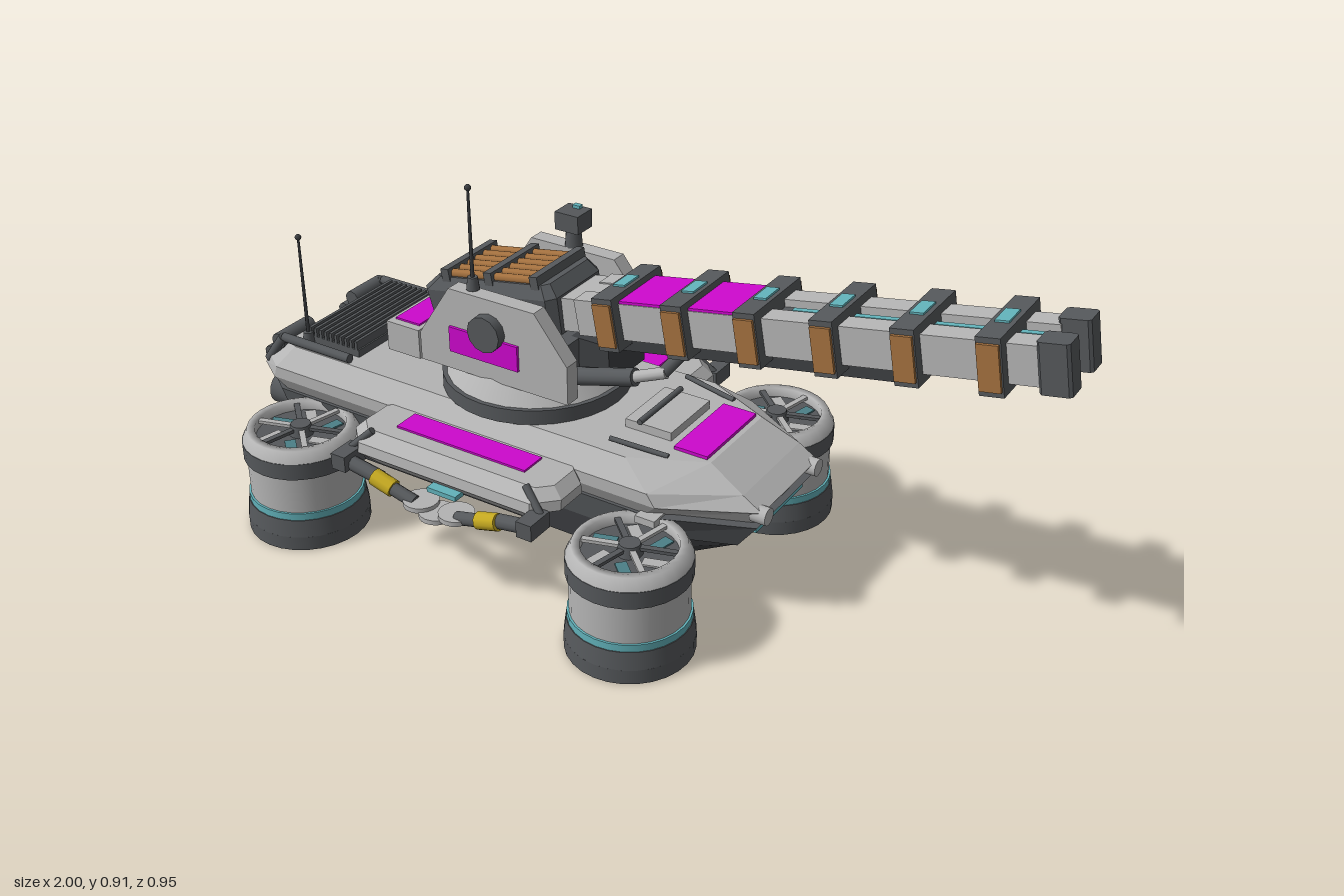
import * as THREE from 'three';

const mat = (name, color) => Object.assign(new THREE.MeshStandardMaterial({ color }), { name });

export function createModel() {
  const light = mat('light grey', 0xb4b4b4), dark = mat('dark grey', 0x55585b), black = mat('underside grey', 0x3d3f42);
  const magenta = mat('magenta', 0xcc08cc), teal = mat('teal', 0x62b2ba), copper = mat('copper', 0xa4713f);
  const yellow = mat('yellow', 0xc4a820), fanTeal = mat('deep teal', 0x4c8087);
  const root = new THREE.Group();
  root.name = 'hoverTank';

  const add = (parent, name, geo, m, x = 0, y = 0, z = 0) => {
    const mesh = new THREE.Mesh(geo, m);
    mesh.name = name;
    mesh.position.set(x, y, z);
    parent.add(mesh);
    return mesh;
  };
  const box = (p, name, m, w, h, d, x, y, z) => add(p, name, new THREE.BoxGeometry(w, h, d), m, x, y, z);
  const cyl = (p, name, m, rt, rb, h, x, y, z, n = 24) => add(p, name, new THREE.CylinderGeometry(rt, rb, h, n), m, x, y, z);
  // Cylinder between two points
  const rod = (p, name, m, a, b, r, n = 10) => {
    const va = new THREE.Vector3(...a), d = new THREE.Vector3(...b).sub(va);
    const mesh = cyl(p, name, m, r, r, d.length(), 0, 0, 0, n);
    mesh.position.copy(va).addScaledVector(d, 0.5);
    mesh.quaternion.setFromUnitVectors(new THREE.Vector3(0, 1, 0), d.normalize());
    return mesh;
  };
  // Flat-faced solid through stacked convex outlines: [y, [[x, z], ...]]
  const loft = levels => {
    const pos = [], n = levels[0][1].length;
    const v = (l, i) => { const [x, z] = levels[l][1][i % n]; return [x, levels[l][0], z]; };
    const top = levels.length - 1;
    for (let l = 0; l < top; l++)
      for (let i = 0; i < n; i++)
        pos.push(...v(l, i), ...v(l, i + 1), ...v(l + 1, i + 1), ...v(l, i), ...v(l + 1, i + 1), ...v(l + 1, i));
    for (let i = 1; i < n - 1; i++)
      pos.push(...v(top, 0), ...v(top, i), ...v(top, i + 1), ...v(0, 0), ...v(0, i + 1), ...v(0, i));
    const g = new THREE.BufferGeometry();
    g.setAttribute('position', new THREE.Float32BufferAttribute(pos, 3));
    g.computeVertexNormals();
    return g;
  };
  // Half outline, front to rear, mirrored across z
  const sym = half => [...half.map(([x, z]) => [x, -z]), ...half.slice().reverse()];
  // Rectangle with cut corners
  const oct = (cx, cz, hx, hz, c) => [[hx, hz - c], [hx, c - hz], [hx - c, -hz], [c - hx, -hz], [-hx, c - hz],
    [-hx, hz - c], [c - hx, hz], [hx - c, hz]].map(([x, z]) => [cx + x, cz + z]);

  // Hull
  add(root, 'upperHull', loft([
    [0.25, sym([[0.345, 0.12], [0.12, 0.21], [-0.9, 0.21], [-0.97, 0.17]])],
    [0.3, sym([[0.378, 0.13], [0.17, 0.236], [-0.93, 0.236], [-1, 0.19]])],
    [0.33, sym([[0.33, 0.13], [0.15, 0.236], [-0.92, 0.236], [-0.985, 0.19]])],
    [0.376, sym([[0.24, 0.115], [0.07, 0.195], [-0.89, 0.195], [-0.93, 0.17]])]]), light);
  add(root, 'lowerHull', loft([
    [0.13, sym([[0.2, 0.12], [0.05, 0.21], [-0.82, 0.21], [-0.88, 0.17]])],
    [0.2, sym([[0.32, 0.13], [0.1, 0.216], [-0.9, 0.216], [-0.95, 0.17]])]]), black);
  add(root, 'hullBelt', loft([
    [0.2, sym([[0.322, 0.135], [0.1, 0.217], [-0.9, 0.217], [-0.955, 0.17]])],
    [0.265, sym([[0.372, 0.14], [0.16, 0.226], [-0.92, 0.226], [-0.985, 0.18]])]]), dark);
  box(root, 'noseLight', teal, 0.012, 0.011, 0.22, 0.348, 0.235, 0);

  // Deck fittings
  box(root, 'frontHatch', light, 0.12, 0.022, 0.17, 0.06, 0.386, 0);
  rod(root, 'hatchHandle', dark, [0.04, 0.402, -0.09], [0.04, 0.402, 0.09], 0.007);
  box(root, 'frontDeckPanel', magenta, 0.085, 0.008, 0.22, 0.185, 0.38, 0);
  box(root, 'radiatorBase', dark, 0.16, 0.02, 0.31, -0.8, 0.385, 0);
  for (let i = 0; i < 10; i++) box(root, 'radiatorFin', dark, 0.008, 0.028, 0.31, -0.872 + i * 0.016, 0.403, 0);
  for (const s of [-1, 1]) {
    rod(root, 'headlight', light, [0.35, 0.288, s * 0.117], [0.388, 0.288, s * 0.117], 0.021, 16);
    rod(root, 'deckRail', dark, [0.01, 0.39, s * 0.165], [0.15, 0.378, s * 0.145], 0.006);
    box(root, 'bowFin', light, 0.05, 0.018, 0.045, 0.15, 0.262, s * 0.222);
    rod(root, 'rearPipe', dark, [-0.72, 0.388, s * 0.188], [-0.93, 0.388, s * 0.188], 0.012);
    rod(root, 'rearPipeBend', dark, [-0.93, 0.388, s * 0.188], [-0.985, 0.315, s * 0.188], 0.014);
    rod(root, 'rearRoll', dark, [-0.945, 0.375, s * 0.08], [-0.945, 0.375, s * 0.195], 0.02);
    rod(root, 'rearRollLow', dark, [-0.975, 0.335, s * 0.08], [-0.975, 0.335, s * 0.195], 0.018);
    rod(root, 'exhaust', dark, [-0.88, 0.212, s * 0.15], [-0.998, 0.212, s * 0.15], 0.042, 16);
    rod(root, 'exhaustBore', black, [-0.99, 0.212, s * 0.15], [-0.9995, 0.212, s * 0.15], 0.031, 16);
  }
  const antenna = (x, y, z, top) => {
    cyl(root, 'antennaBase', dark, 0.012, 0.016, 0.03, x, y + 0.015, z, 10);
    cyl(root, 'antennaMast', black, 0.003, 0.005, top - y, x, (top + y) / 2, z, 6);
    add(root, 'antennaTip', new THREE.SphereGeometry(0.008, 8, 6), black, x, top - 0.006, z);
  };
  antenna(-0.875, 0.376, 0.16, 0.665);
  antenna(-0.355, 0.66, 0.16, 0.91);

  // Hover pods
  const profile = pts => new THREE.LatheGeometry(pts.map(p => new THREE.Vector2(...p)), 28);
  for (const px of [-0.765, 0.167]) for (const s of [-1, 1]) {
    const pod = new THREE.Group();
    pod.name = 'hoverPod';
    pod.position.set(px, 0, s * 0.33);
    root.add(pod);
    cyl(pod, 'podSkirt', dark, 0.141, 0.147, 0.045, 0, 0.0575, 0, 28);
    cyl(pod, 'podFoot', dark, 0.147, 0.147, 0.036, 0, 0.018, 0, 28);
    cyl(pod, 'podGlow', fanTeal, 0.1, 0.1, 0.004, 0, 0, 0, 28).position.y = 0.001;
    cyl(pod, 'podBand', teal, 0.139, 0.139, 0.018, 0, 0.089, 0, 28);
    cyl(pod, 'podBody', light, 0.134, 0.134, 0.1, 0, 0.145, 0, 28);
    cyl(pod, 'podCollar', dark, 0.141, 0.141, 0.042, 0, 0.215, 0, 28);
    add(pod, 'podRim', profile([[0.14, 0.236], [0.127, 0.264], [0.108, 0.264], [0.108, 0.237]]), light);
    cyl(pod, 'fanWell', dark, 0.109, 0.109, 0.004, 0, 0.238, 0);
    cyl(pod, 'fanHub', dark, 0.024, 0.03, 0.026, 0, 0.253, 0, 14);
    for (let i = 0; i < 6; i++) {
      const spoke = new THREE.Group();
      spoke.rotation.y = i * Math.PI / 3 + 0.3;
      pod.add(spoke);
      box(spoke, 'fanSpoke', i % 2 ? light : dark, 0.09, 0.008, 0.014, 0.063, 0.256, 0);
      box(spoke, 'fanVane', i % 2 ? fanTeal : light, 0.055, 0.004, 0.026, 0.064, 0.243, 0.03);
    }
  }

  // Side sponsons with folded arms
  for (const s of [-1, 1]) {
    add(root, 'sponson', loft([
      [0.25, oct(-0.3, s * 0.275, 0.24, 0.075, 0.04)], [0.285, oct(-0.3, s * 0.29, 0.29, 0.092, 0.05)],
      [0.31, oct(-0.3, s * 0.29, 0.29, 0.088, 0.05)], [0.334, oct(-0.3, s * 0.28, 0.265, 0.068, 0.03)]]), light);
    box(root, 'sponsonPanel', magenta, 0.36, 0.006, 0.066, -0.3, 0.336, s * 0.277);
    box(root, 'sponsonLight', teal, 0.08, 0.012, 0.03, -0.3, 0.255, s * 0.37);
    for (const e of [-1, 1]) {
      const X = d => -0.3 + e * d;
      box(root, 'armMount', dark, 0.04, 0.04, 0.07, X(0.26), 0.275, s * 0.395);
      rod(root, 'sponsonStrut', dark, [X(0.27), 0.285, s * 0.375], [X(0.215), 0.338, s * 0.355], 0.009);
      rod(root, 'armTube', dark, [X(0.26), 0.268, s * 0.4], [X(0.16), 0.252, s * 0.4], 0.018);
      rod(root, 'armSleeve', yellow, [X(0.175), 0.255, s * 0.405], [X(0.12), 0.24, s * 0.405], 0.021);
      rod(root, 'armForearm', dark, [X(0.13), 0.242, s * 0.405], [X(0.06), 0.225, s * 0.405], 0.016);
    }
    for (const [dx, z] of [[-0.05, 0.395], [0, 0.402], [0.05, 0.395]])
      cyl(root, 'armDisc', light, 0.042, 0.042, 0.012, -0.3 + dx, 0.216 + Math.abs(dx) * 0.2, s * z, 18);
  }

  // Turret base
  cyl(root, 'turretRing', dark, 0.225, 0.225, 0.036, -0.3, 0.394, 0, 32);
  cyl(root, 'turretBase', light, 0.18, 0.215, 0.045, -0.3, 0.434, 0, 24);
  box(root, 'turretCore', dark, 0.34, 0.11, 0.27, -0.3, 0.505, 0);
  box(root, 'mantlet', black, 0.1, 0.1, 0.15, -0.1, 0.51, 0);
  box(root, 'bustleBox', light, 0.095, 0.075, 0.3, -0.58, 0.462, 0);
  box(root, 'bustlePanel', magenta, 0.07, 0.006, 0.26, -0.58, 0.501, 0);
  box(root, 'bustleArm', dark, 0.1, 0.025, 0.14, -0.51, 0.435, 0);

  // Armoured cheeks
  const cheek = new THREE.Shape([[-0.5, 0.45], [-0.09, 0.45], [-0.09, 0.545], [-0.175, 0.655], [-0.41, 0.655], [-0.5, 0.52]]
    .map(p => new THREE.Vector2(...p)));
  const cheekGeo = new THREE.ExtrudeGeometry(cheek, { depth: 0.04, bevelEnabled: false });
  for (const s of [-1, 1]) {
    add(root, 'turretCheek', cheekGeo, light, 0, 0, s > 0 ? 0.141 : -0.181);
    box(root, 'cheekPanel', magenta, 0.19, 0.063, 0.008, -0.315, 0.53, s * 0.184);
    rod(root, 'trunnion', dark, [-0.3, 0.577, s * 0.18], [-0.3, 0.577, s * 0.205], 0.044, 12);
    rod(root, 'elevationCylinder', dark, [-0.14, 0.475, s * 0.105], [0.04, 0.525, s * 0.105], 0.021, 12);
    rod(root, 'elevationPiston', light, [0.03, 0.522, s * 0.105], [0.11, 0.55, s * 0.09], 0.014, 12);
    rod(root, 'elevationLink', dark, [0.1, 0.545, s * 0.09], [0.14, 0.6, s * 0.06], 0.014);
  }
  cyl(root, 'sightPost', dark, 0.018, 0.022, 0.05, -0.3, 0.68, -0.16, 10);
  box(root, 'sightHead', dark, 0.065, 0.045, 0.06, -0.3, 0.722, -0.16);
  box(root, 'sightLens', teal, 0.02, 0.008, 0.014, -0.3, 0.748, -0.178);

  // Elevated gun, built along its own x axis from the trunnion
  const gun = new THREE.Group();
  gun.name = 'gun';
  gun.position.set(-0.3, 0.583, 0);
  gun.rotation.z = 0.174;
  root.add(gun);
  add(gun, 'breech', loft([[-0.08, oct(-0.06, 0, 0.18, 0.1, 0.02)], [0.045, oct(-0.06, 0, 0.19, 0.105, 0.02)],
    [0.075, oct(-0.05, 0, 0.16, 0.09, 0.015)]]), dark);
  for (const z of [-0.075, -0.045, -0.015, 0.015, 0.045, 0.075])
    rod(gun, 'coilBar', copper, [-0.17, 0.08, z], [0.07, 0.08, z], 0.011, 8);
  for (const x of [-0.175, -0.05, 0.08]) box(gun, 'coilClamp', dark, 0.022, 0.032, 0.19, x, 0.08, 0);
  box(gun, 'breechCollar', light, 0.09, 0.08, 0.14, 0.16, 0, 0);
  box(gun, 'barrelCore', dark, 1.1, 0.06, 0.06, 0.69, -0.004, 0);
  box(gun, 'lowerRail', black, 0.75, 0.045, 0.1, 0.59, -0.06, 0);
  box(gun, 'barrelGlow', teal, 0.56, 0.01, 0.014, 0.96, 0.03, 0);
  box(gun, 'muzzleLight', teal, 0.02, 0.012, 0.024, 1.235, 0.015, 0);
  for (const s of [-1, 1]) {
    box(gun, 'barrelRail', light, 1.08, 0.086, 0.052, 0.71, 0, s * 0.052);
    add(gun, 'muzzle', loft([[-0.055, oct(0, 0, 0.033, 0.028, 0.006)], [0.055, oct(0, 0, 0.033, 0.028, 0.006)]]),
      dark, 1.275, 0, s * 0.058);
  }
  for (let i = 0; i < 6; i++) {
    const x = 0.264 + i * 0.178;
    box(gun, 'barrelBand', dark, 0.052, 0.125, 0.206, x, 0, 0);
    box(gun, 'bandLight', teal, 0.03, 0.006, 0.06, x, 0.064, 0);
    for (const s of [-1, 1]) box(gun, 'bandCoil', copper, 0.046, 0.1, 0.008, x, 0, s * 0.106);
  }
  for (const x of [0.353, 0.531]) box(gun, 'barrelPanel', magenta, 0.124, 0.008, 0.152, x, 0.045, 0);

  return root;
}
